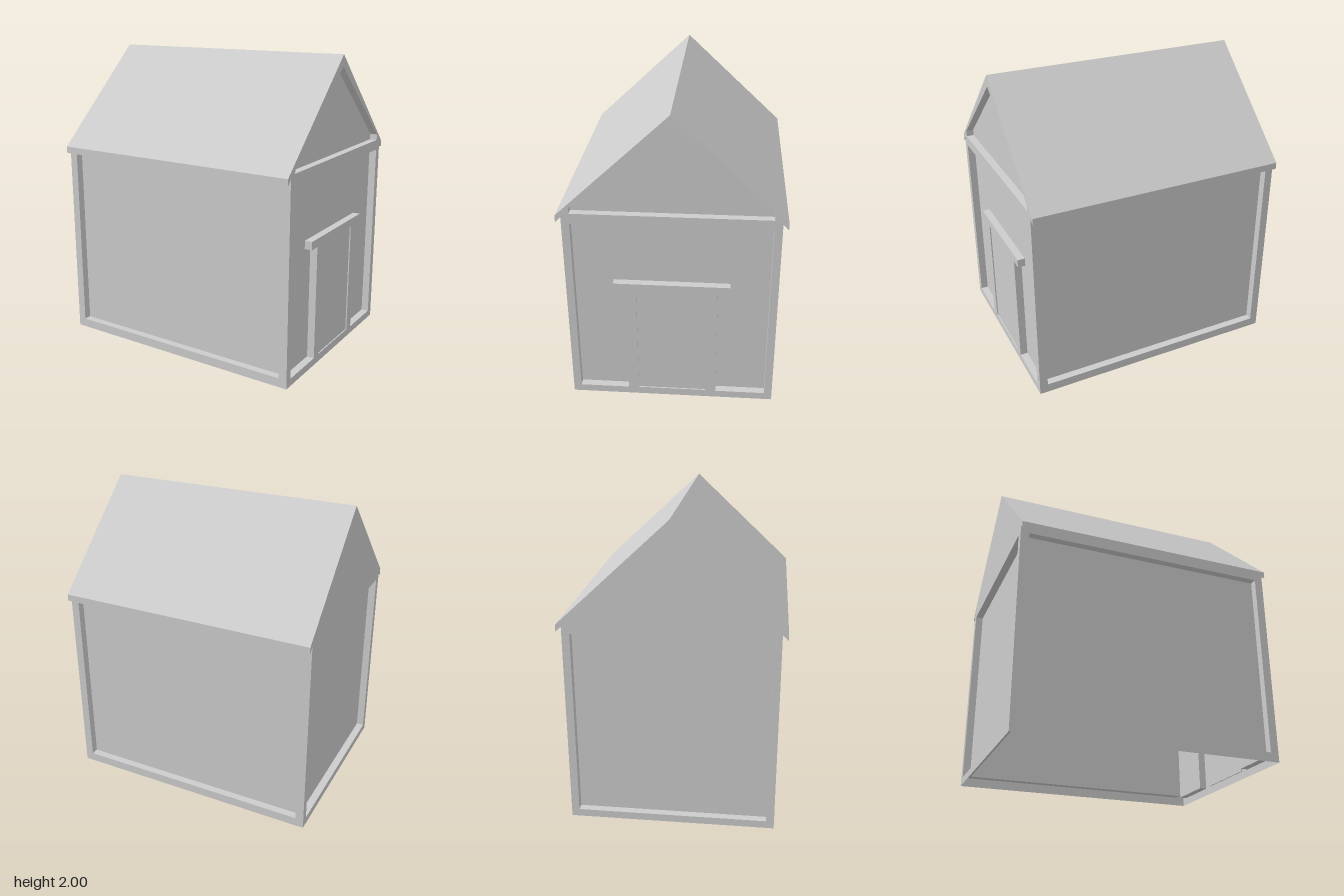
import * as THREE from 'three';

const HALF_X = 0.865, HALF_Z = 0.665, WALL_TOP = 1.335;

const material = new THREE.MeshStandardMaterial({
  color: 0xcccccc, flatShading: true, side: THREE.DoubleSide,
});

const toPoints = (list) => list.map(([x, y]) => new THREE.Vector2(x, y));
const rect = (hw, y0, y1) => [[-hw, y0], [hw, y0], [hw, y1], [-hw, y1]];

function addMesh(parent, geometry, name) {
  const mesh = new THREE.Mesh(geometry, material);
  mesh.name = name;
  parent.add(mesh);
  return mesh;
}

// Sweeps an outline along z; faces look to the left of its direction
function strip(outline, z0, z1, closed) {
  const pos = [];
  const n = outline.length;
  for (let i = 0; i < (closed ? n : n - 1); i++) {
    const [ax, ay] = outline[i];
    const [bx, by] = outline[(i + 1) % n];
    pos.push(ax, ay, z0, bx, by, z0, bx, by, z1, ax, ay, z0, bx, by, z1, ax, ay, z1);
  }
  const geometry = new THREE.BufferGeometry();
  geometry.setAttribute('position', new THREE.Float32BufferAttribute(pos, 3));
  geometry.computeVertexNormals();
  return geometry;
}

// A wall sheet with sunken panels; it faces local +z
function wall(name, outline, recesses) {
  const group = new THREE.Group();
  group.name = name;
  const frame = new THREE.Shape(toPoints(outline));
  for (const { points, depth, part } of recesses) {
    frame.holes.push(new THREE.Path(toPoints(points)));
    addMesh(group, strip(points, 0, -depth, true), part + 'Reveal');
    addMesh(group, new THREE.ShapeGeometry(new THREE.Shape(toPoints(points))), part)
      .position.z = -depth;
  }
  addMesh(group, new THREE.ShapeGeometry(frame), name + 'Frame');
  return group;
}

export function createModel() {
  const model = new THREE.Group();
  model.name = 'house';

  // Long front and back walls
  for (const side of [1, -1]) {
    const longWall = wall(side > 0 ? 'frontWall' : 'backWall', rect(HALF_X, 0, WALL_TOP),
      [{ points: rect(0.81, 0.06, 1.29), depth: 0.05, part: 'wallPanel' }]);
    longWall.position.z = side * HALF_Z;
    if (side < 0) longWall.rotation.y = Math.PI;
    model.add(longWall);
  }

  // Roof profile from eave to eave, shared by the gable ends
  const roofProfile = [
    [-HALF_Z, WALL_TOP], [-0.7, 1.3], [-0.7, 1.345], [0, 2],
    [0.7, 1.345], [0.7, 1.3], [HALF_Z, WALL_TOP],
  ];
  const endOutline = [[-HALF_Z, 0], [HALF_Z, 0], ...[...roofProfile].reverse()];

  // Panel that leaves the door posts and lintel standing proud
  const aroundDoor = [
    [-0.615, 0.05], [-0.29, 0.05], [-0.29, 0.82], [-0.368, 0.82], [-0.368, 0.875],
    [0.368, 0.875], [0.368, 0.82], [0.29, 0.82], [0.29, 0.05], [0.615, 0.05],
    [0.615, 1.29], [-0.615, 1.29],
  ];
  const gable = [[-0.615, 1.36], [0.615, 1.36], [0.615, 1.4], [0, 1.925], [-0.615, 1.4]];

  // Door end
  const doorEnd = wall('doorEnd', endOutline, [
    { points: aroundDoor, depth: 0.05, part: 'wallPanel' },
    { points: rect(0.223, 0.053, 0.816), depth: 0.008, part: 'door' },
    { points: gable, depth: 0.05, part: 'gablePanel' },
  ]);
  doorEnd.position.x = HALF_X;
  doorEnd.rotation.y = Math.PI / 2;
  model.add(doorEnd);

  // Plain end
  const plainEnd = wall('plainEnd', endOutline,
    [{ points: rect(0.615, 0.05, 1.29), depth: 0.05, part: 'wallPanel' }]);
  plainEnd.position.x = -HALF_X;
  plainEnd.rotation.y = -Math.PI / 2;
  model.add(plainEnd);

  // Roof slopes, fascias and eave undersides
  addMesh(model, strip(roofProfile, HALF_X, -HALF_X, false), 'roof').rotation.y = Math.PI / 2;

  return model;
}
